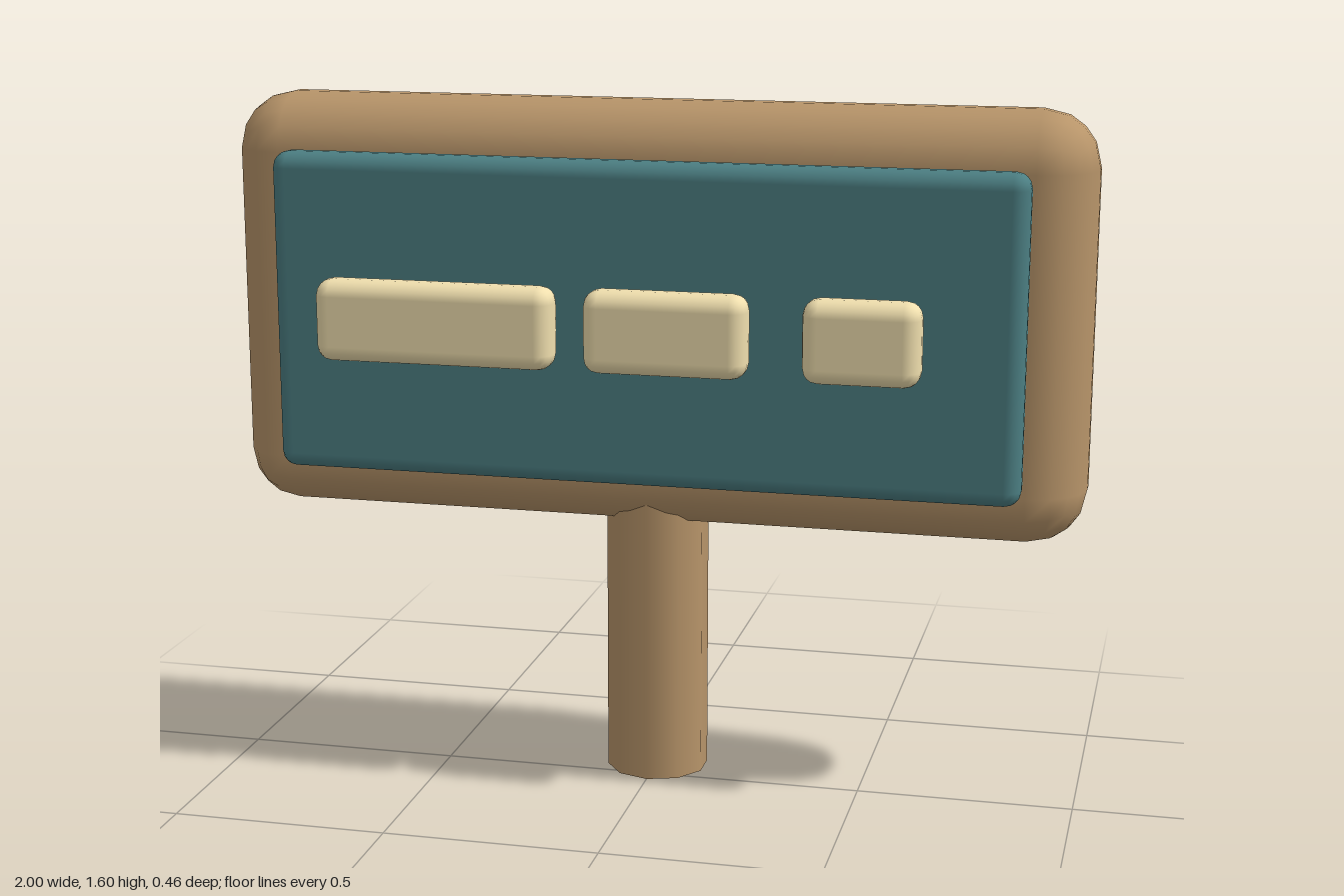
import * as THREE from 'three';
import { RoundedBoxGeometry } from 'three/addons/geometries/RoundedBoxGeometry.js';

export function createModel() {
  const sign = new THREE.Group();
  sign.name = 'signpost';

  const wood = new THREE.MeshStandardMaterial({ color: 0xb8956a });
  const teal = new THREE.MeshStandardMaterial({ color: 0x4c7f83 });
  const cream = new THREE.MeshStandardMaterial({ color: 0xf0dfae });

  // Rounded slab given by its extents on each axis
  function slab(name, [x0, x1], [y0, y1], [z0, z1], radius, material) {
    const mesh = new THREE.Mesh(
      new RoundedBoxGeometry(x1 - x0, y1 - y0, z1 - z0, 2, radius), material);
    mesh.position.set((x0 + x1) / 2, (y0 + y1) / 2, (z0 + z1) / 2);
    mesh.name = name;
    sign.add(mesh);
  }

  // Ten-sided post, running up into the board
  const post = new THREE.Mesh(new THREE.CylinderGeometry(0.12, 0.12, 0.74, 10), wood);
  post.position.set(0, 0.37, -0.08);
  post.name = 'post';
  sign.add(post);

  // Thick wooden board with an inset-coloured panel on its front
  slab('board', [-1, 1], [0.617, 1.6], [-0.228, 0.064], 0.13, wood);
  slab('panel', [-0.865, 0.865], [0.738, 1.48], [0.04, 0.135], 0.037, teal);

  // Row of raised blocks standing in for words
  const blocks = [[-0.735, -0.178], [-0.108, 0.264], [0.386, 0.648]];
  blocks.forEach((span, i) =>
    slab(`textBlock${i + 1}`, span, [1.015, 1.204], [0.132, 0.228], 0.037, cream));

  return sign;
}
